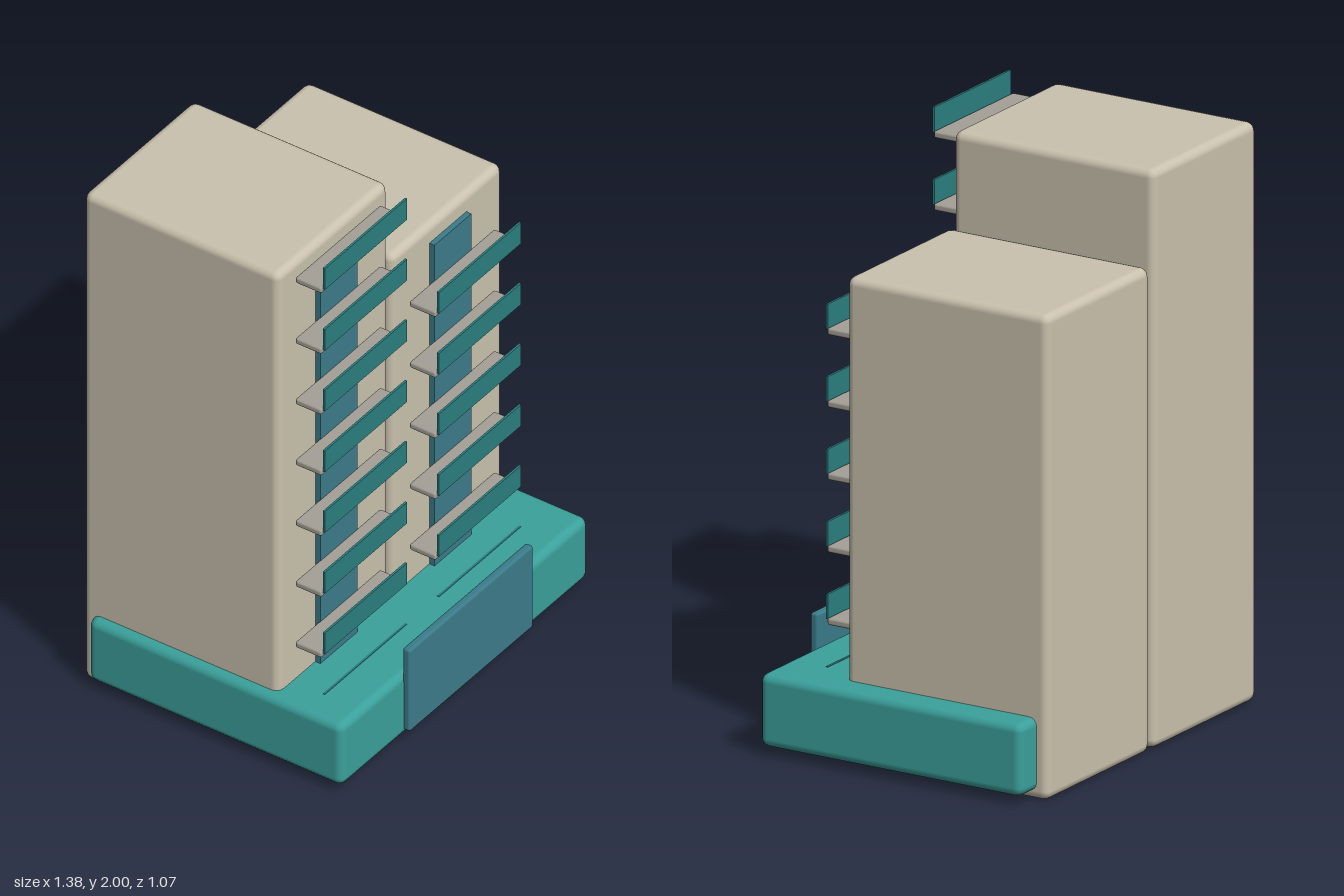
import * as THREE from 'three';
import { RoundedBoxGeometry } from 'three/addons/geometries/RoundedBoxGeometry.js';

const material = (name, color) => {
  const m = new THREE.MeshStandardMaterial({ color });
  m.name = name;
  return m;
};

// Box given by its min and max corners, with an optional rounded edge
function block(name, mat, min, max, radius = 0) {
  const size = max.map((v, i) => v - min[i]);
  const geometry = radius
    ? new RoundedBoxGeometry(...size, 2, radius)
    : new THREE.BoxGeometry(...size);
  const mesh = new THREE.Mesh(geometry, mat);
  mesh.name = name;
  mesh.position.set(...max.map((v, i) => (v + min[i]) / 2));
  return mesh;
}

export function createModel() {
  const model = new THREE.Group();
  model.name = 'twinTowerBuilding';

  const wall = material('beige wall', 0xcac2ae);
  const podiumTeal = material('podium teal', 0x3ba19c);
  const railTeal = material('railing teal', 0x2c7f80);
  const glass = material('blue glass', 0x3b7b8a);
  const concrete = material('grey concrete', 0xa4a096);

  // Podium and entrance panel
  model.add(block('podium', podiumTeal, [-0.69, 0.03, -0.493], [0.69, 0.278, 0.51], 0.03));
  model.add(block('entrancePanel', glass, [-0.345, 0.055, 0.505], [0.345, 0.385, 0.535], 0.01));

  // Towers, each with a window strip and a stack of balconies
  const towers = [
    { name: 'tallTower', x: -0.348, height: 1.963, stripTop: 1.892, floors: 8 },
    { name: 'shortTower', x: 0.288, height: 1.645, stripTop: 1.575, floors: 6 },
  ];
  for (const { name, x, height, stripTop, floors } of towers) {
    const tower = new THREE.Group();
    tower.name = name;
    tower.position.x = x;
    tower.add(block('towerBody', wall, [-0.308, 0, -0.535], [0.308, height, 0.237], 0.03));
    tower.add(block('windowStrip', glass, [-0.103, 0.1, 0.227], [0.103, stripTop, 0.257]));

    for (let i = 0; i < floors; i++) {
      const y = 0.19 + i * 0.2457;
      const balcony = new THREE.Group();
      balcony.name = 'balcony';
      balcony.position.y = y;
      balcony.add(block('balconySlab', concrete, [-0.237, -0.012, 0.252], [0.237, 0.012, 0.355], 0.008));
      balcony.add(block('balconyRailing', railTeal, [-0.229, 0.005, 0.356], [0.229, 0.09, 0.364]));
      tower.add(balcony);
    }
    model.add(tower);
  }
  return model;
}
